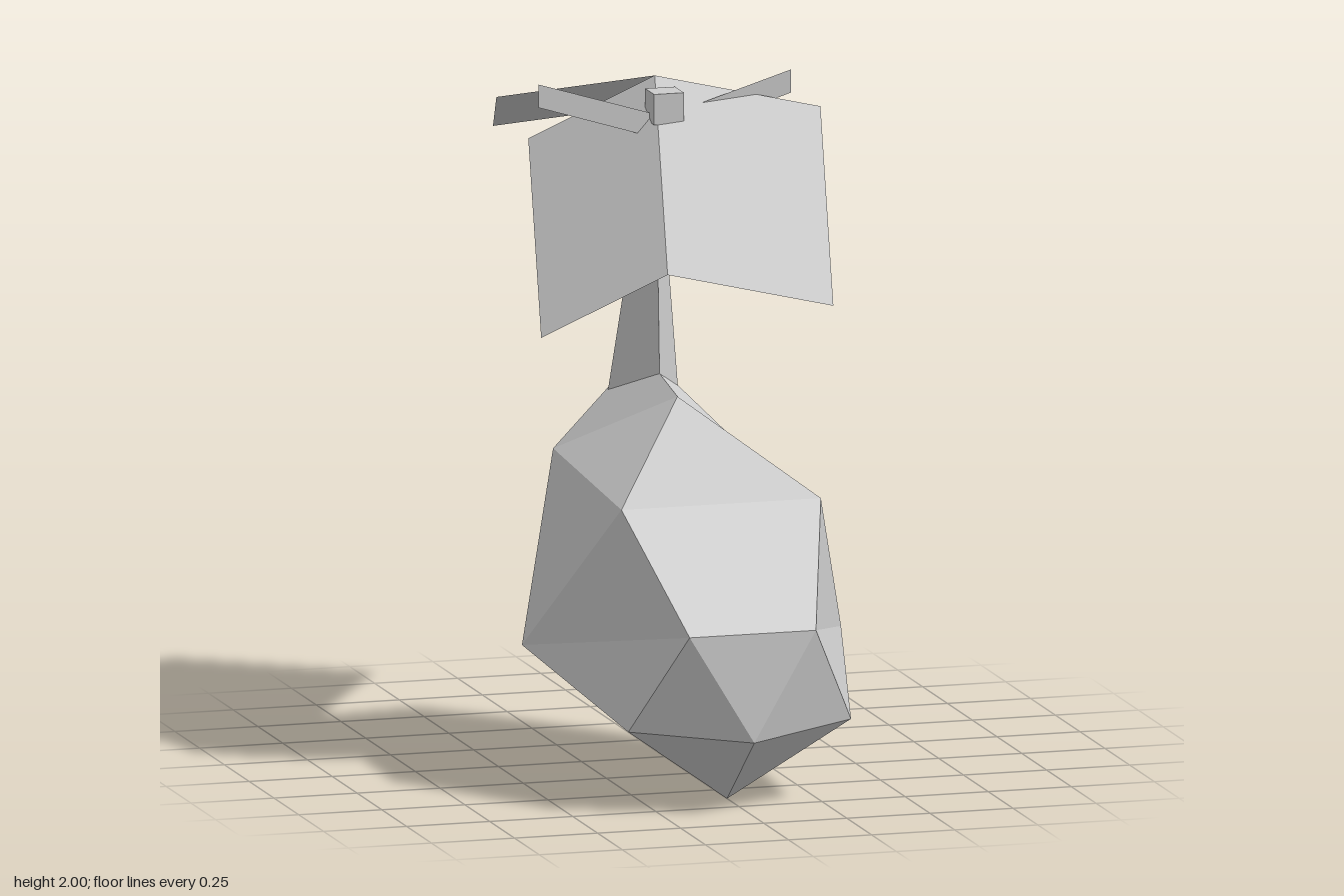
import * as THREE from 'three';

const grey = new THREE.MeshStandardMaterial({ color: 0xcccccc, flatShading: true });
grey.name = 'lightGrey';
const greyThin = grey; // one colour for everything; thin parts show from both sides
greyThin.side = THREE.DoubleSide;

// Flat faceted mesh from triangles of points; with a centre, every face is turned outwards
function facets(name, triangles, centre) {
  const out = [];
  const n = new THREE.Vector3(), mid = new THREE.Vector3();
  for (const tri of triangles) {
    const [a, b, c] = tri.map((p) => new THREE.Vector3(...p));
    const t = new THREE.Triangle(a, b, c);
    t.getNormal(n);
    t.getMidpoint(mid);
    const flip = centre && n.dot(mid.sub(centre)) < 0;
    for (const p of flip ? [a, c, b] : [a, b, c]) out.push(p.x, p.y, p.z);
  }
  const g = new THREE.BufferGeometry();
  g.setAttribute('position', new THREE.Float32BufferAttribute(out, 3));
  g.computeVertexNormals();
  const mesh = new THREE.Mesh(g, grey);
  mesh.name = name;
  return mesh;
}

const quad = (a, b, c, d) => [[a, b, c], [a, c, d]];

// Faceted pear-shaped body, mirrored across x = 0
function makeBody() {
  const P = {
    A: [0, 0.217, 0.905], B: [0.19, 0.535, 0.89], C: [0.335, 0.24, 0.757],
    D: [0, 0, 0.63], E: [0.3, 0.855, 0.57], F: [0.48, 0.39, 0.17],
    G: [0, 1.085, 0.13], J: [0.27, 0.88, -0.22], K: [0, 0.745, -0.49],
    L: [0, 1.15, -0.235], M: [0, 0.085, -0.07],
  };
  const at = (k, s) => [P[k][0] * s, P[k][1], P[k][2]];
  const tris = [];
  for (const s of [1, -1]) {
    for (const f of ['ABC', 'ACD', 'BCF', 'BFE', 'EFJ', 'EJG', 'GJL', 'LJK', 'FJK', 'FKM', 'CFM', 'CMD']) {
      tris.push([...f].map((k) => at(k, s)));
    }
  }
  // Faces that span the middle
  tris.push([P.A, P.B, at('B', -1)], [P.E, at('E', -1), P.G]);
  tris.push(...quad(P.B, P.E, at('E', -1), at('B', -1)));
  return facets('body', tris, new THREE.Vector3(0, 0.6, 0.2));
}

// Three-sided tapering stem
function makeStem() {
  const tip = [0, 1.95, -0.095];
  const base = [[0, 1.0, -0.045], [0.11, 1.0, -0.225], [-0.11, 1.0, -0.225]];
  const tris = base.map((p, i) => [p, base[(i + 1) % 3], tip]);
  return facets('stem', [...tris, base], new THREE.Vector3(0, 1.3, -0.14));
}

// Leaf folded along a crease: two parallelogram wings
function makeLeaf(name, root, crease, wings) {
  const add = (a, b) => a.map((v, i) => v + b[i]);
  const end = add(root, crease);
  return facets(name, wings.flatMap((w) => quad(root, end, add(end, w), add(root, w))));
}

// Small flower: a cube with two thin raised petals
function makeFlower() {
  const flower = new THREE.Group();
  flower.name = 'flower';
  const hub = new THREE.Mesh(new THREE.BoxGeometry(0.09, 0.09, 0.09), grey);
  hub.name = 'flowerCentre';
  hub.position.y = 1.915;
  flower.add(hub);
  for (const s of [1, -1]) {
    const tris = quad([s * 0.02, 1.82, 0], [s * 0.38, 1.932, 0], [s * 0.38, 2, 0], [s * 0.02, 1.89, 0]);
    flower.add(facets(s > 0 ? 'leftPetal' : 'rightPetal', tris));
  }
  return flower;
}

export function createModel() {
  const model = new THREE.Group();
  model.name = 'fruit';
  const root = [0, 1.985, -0.1];
  model.add(
    makeBody(),
    makeStem(),
    makeLeaf('backLeaf', root, [0.2, -0.235, -0.705], [[0.28, -0.3, 0.182], [-0.445, -0.058, -0.105]]),
    makeLeaf('frontLeaf', root, [-0.135, -0.465, 0.583], [[0.45, -0.085, 0.163], [-0.308, -0.215, -0.243]]),
    makeFlower(),
  );
  return model;
}
